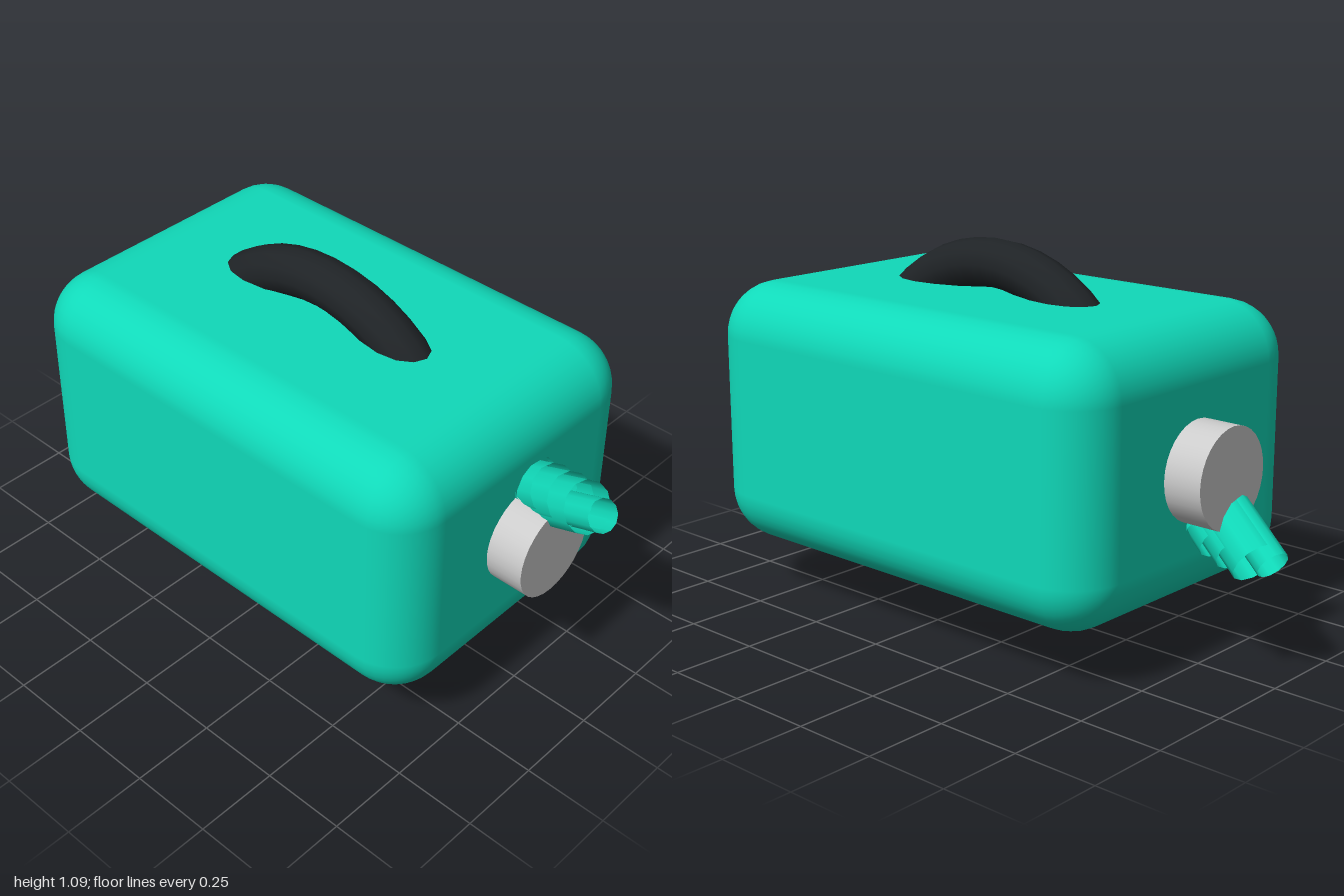
import * as THREE from 'three';
import { RoundedBoxGeometry } from 'three/addons/geometries/RoundedBoxGeometry.js';

const MID = 0.546; // height of the body centre

const teal = new THREE.MeshStandardMaterial({ color: 0x10d9b9 });
const tealOpen = new THREE.MeshStandardMaterial({ color: 0x10d9b9, side: THREE.DoubleSide });
const black = new THREE.MeshStandardMaterial({ color: 0x1f2326 });
const grey = new THREE.MeshStandardMaterial({ color: 0xcccccc });

function part(parent, name, geometry, material, x = 0, y = 0, z = 0) {
  const mesh = new THREE.Mesh(geometry, material);
  mesh.name = name;
  mesh.position.set(x, y, z);
  parent.add(mesh);
  return mesh;
}

// open tube that ends at the given point and runs back along the direction
function tube(parent, name, end, dir, radius, length) {
  const mesh = part(parent, name, new THREE.CylinderGeometry(radius, radius, length, 12, 1, true), tealOpen);
  mesh.quaternion.setFromUnitVectors(new THREE.Vector3(0, 1, 0), dir);
  mesh.position.copy(end).addScaledVector(dir, -length / 2);
}

// arm of staggered tilted tubes with a thinner tip; side is +1 or -1
function arm(side, slope) {
  const group = new THREE.Group();
  group.name = side > 0 ? 'leftArm' : 'rightArm';
  group.position.y = MID;
  const dir = new THREE.Vector3(1, slope, 0.3).multiplyScalar(side).normalize();
  for (let i = 0; i < 4; i++) {
    const end = new THREE.Vector3(0.93 - 0.062 * i, 0.208 - 0.015 * i, 0.005 - 0.012 * i);
    tube(group, 'armSegment', end.multiplyScalar(side), dir, 0.073, 0.3 - 0.04 * i);
  }
  tube(group, 'armTip', new THREE.Vector3(0.978, 0.206, 0.003).multiplyScalar(side), dir, 0.047, 0.28);
  return group;
}

export function createModel() {
  const model = new THREE.Group();
  model.name = 'model';

  // rounded body
  part(model, 'body', new RoundedBoxGeometry(1.45, 0.792, 0.97, 5, 0.16), teal, 0, MID + 0.002, 0);

  // upright ring showing above and below the body
  part(model, 'ring', new THREE.TorusGeometry(0.474, 0.072, 12, 48), black, 0, MID, 0);

  // short post inside the ring at the bottom
  part(model, 'bottomPost', new THREE.CylinderGeometry(0.08, 0.08, 0.2, 24), grey, 0, 0.12, 0);

  // end caps and arms
  for (const side of [1, -1]) {
    const cap = part(model, 'endCap', new THREE.CylinderGeometry(0.143, 0.143, 0.16, 32), grey, side * 0.76, MID, 0);
    cap.rotation.z = Math.PI / 2;
    model.add(arm(side, side > 0 ? 0.57 : 0.68));
  }
  return model;
}
